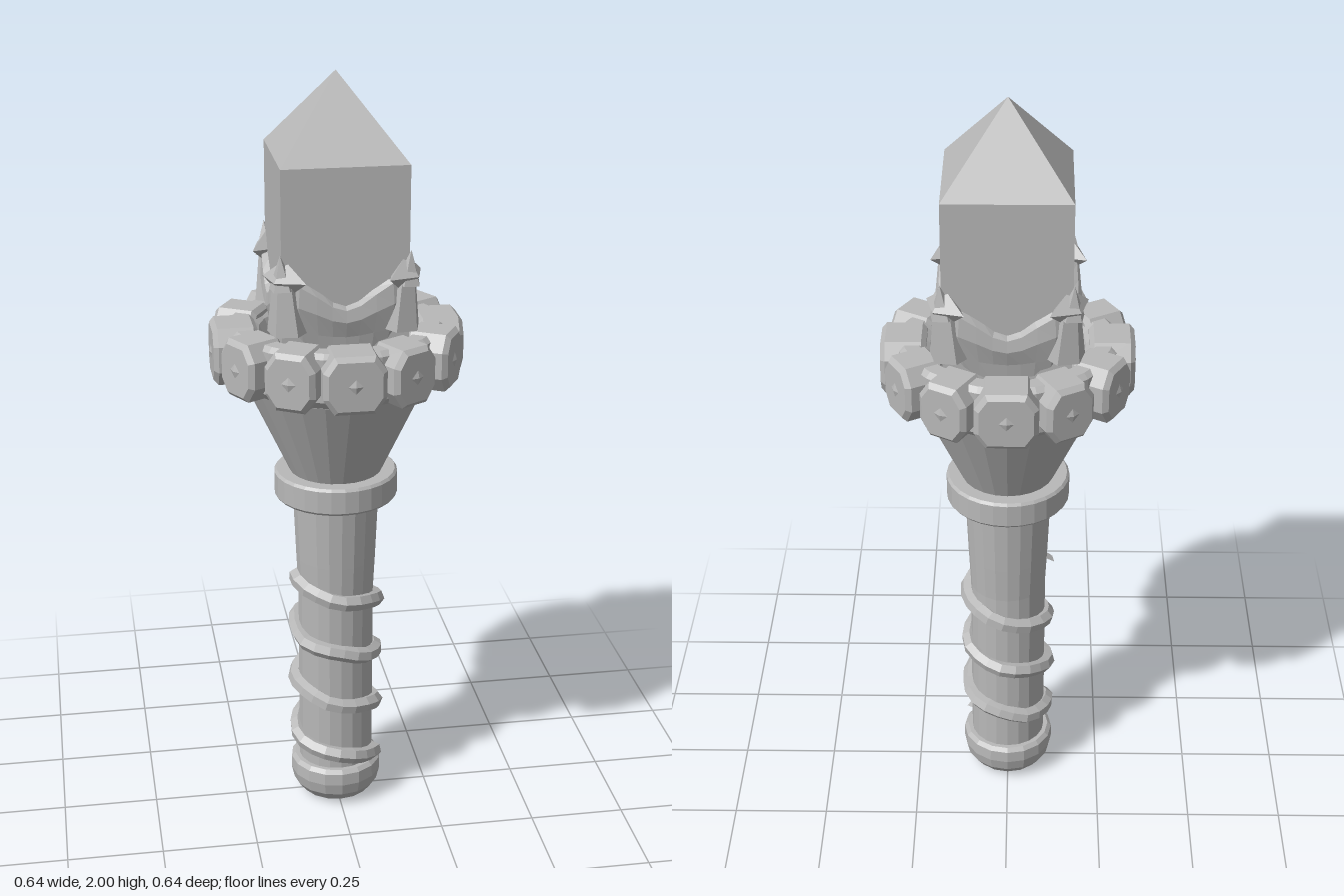
import * as THREE from 'three';

const stone = new THREE.MeshStandardMaterial({ color: 0xb8b8b8, flatShading: true });
stone.name = 'grey stone';

function part(name, geometry, parent) {
  const mesh = new THREE.Mesh(geometry, stone);
  mesh.name = name;
  parent.add(mesh);
  return mesh;
}

const lathe = (points, sides) =>
  new THREE.LatheGeometry(points.map(([r, y]) => new THREE.Vector2(r, y)), sides);

// Descending vine-like wrap around the grip
function wrapGeometry() {
  const turns = 3.45, steps = 44, points = [];
  for (let i = 0; i <= steps; i++) {
    const t = i / steps;
    const a = -Math.PI / 2 + t * turns * Math.PI * 2;
    const r = 0.106 + 0.003 * Math.sin(i * 2.3);
    points.push(new THREE.Vector3(r * Math.sin(a), 0.665 - 0.535 * t + 0.003 * Math.sin(i * 1.7), r * Math.cos(a)));
  }
  return new THREE.TubeGeometry(new THREE.CatmullRomCurve3(points), 66, 0.022, 6);
}

// Chamfered block, facing +z, centred on the ring height
function toothGeometry(halfWidth) {
  const w = halfWidth - 0.012, h = 0.062, cx = 0.022, cy = 0.032;
  const shape = new THREE.Shape([
    [-w + cx, -h], [w - cx, -h], [w, -h + cy], [w, h - cy],
    [w - cx, h], [-w + cx, h], [-w, h - cy], [-w, -h + cy],
  ].map(([x, y]) => new THREE.Vector2(x, y)));
  const g = new THREE.ExtrudeGeometry(shape, {
    depth: 0.09, bevelEnabled: true, bevelThickness: 0.012, bevelSize: 0.012, bevelSegments: 1,
  });
  return g.translate(0, 1.305, 0.214);
}

// Rounded-square cup whose rim rises towards the four corners
function cupGeometry() {
  const g = lathe([[0.14, 1.24], [0.157, 1.33], [0.165, 1.39], [0.178, 1.43], [0.174, 1.46], [0.15, 1.47]], 32);
  const p = g.attributes.position;
  for (let i = 0; i < p.count; i++) {
    const x = p.getX(i), y = p.getY(i), z = p.getZ(i);
    const a = Math.atan2(x, z);
    const n = 6;
    const square = Math.pow(Math.abs(Math.sin(a)) ** n + Math.abs(Math.cos(a)) ** n, -1 / n);
    const k = 1 + (square - 1) * THREE.MathUtils.clamp((y - 1.24) / 0.15, 0, 1);
    const corner = Math.sin(2 * a) ** 2;
    const lift = corner * 0.075 * THREE.MathUtils.clamp((y - 1.37) / 0.09, 0, 1);
    p.setXYZ(i, x * k, y - 0.01 + lift, z * k);
  }
  return g;
}

export function createModel() {
  const model = new THREE.Group();
  model.name = 'torch';

  // Handle
  part('pommel', lathe([[0, 0.003], [0.062, 0.003], [0.095, 0.016], [0.115, 0.042], [0.123, 0.075],
    [0.122, 0.108], [0.112, 0.118], [0, 0.118]], 16), model);
  part('grip', lathe([[0.1, 0.1], [0.1, 0.62], [0.105, 0.72], [0.113, 0.91]], 20), model);
  part('gripWrap', wrapGeometry(), model);
  part('collar', lathe([[0, 0.897], [0.154, 0.897], [0.16, 0.904], [0.16, 0.963], [0.154, 0.97], [0, 0.97]], 28), model);
  part('flaredNeck', lathe([[0.118, 0.965], [0.237, 1.22], [0.237, 1.26]], 24), model);

  // Toothed ring with a dished top
  part('ringBody', lathe([[0.15, 1.228], [0.255, 1.228], [0.276, 1.25], [0.276, 1.36],
    [0.262, 1.372], [0.225, 1.372], [0.195, 1.35], [0.175, 1.31], [0, 1.3]], 24), model);
  const wide = toothGeometry(0.078), narrow = toothGeometry(0.066);
  const studGeometry = new THREE.OctahedronGeometry(0.026).scale(1, 1, 0.28);
  for (let i = 0; i < 12; i++) {
    const tooth = new THREE.Group();
    tooth.name = 'ringTooth';
    part('toothBlock', i % 3 === 0 ? wide : narrow, tooth);
    part('toothStud', studGeometry, tooth).position.set(0, 1.305, 0.314);
    tooth.rotation.y = i * Math.PI / 6;
    model.add(tooth);
  }

  // Square crystal with a pyramid point
  const side = 0.157;
  part('crystalShaft', new THREE.BoxGeometry(side * 2, 0.55, side * 2), model).position.y = 1.525;
  const tip = new THREE.ConeGeometry(side * Math.SQRT2, 0.2, 4, 1, true).rotateY(Math.PI / 4);
  part('crystalPoint', tip, model).position.y = 1.9;

  // Cup and its corner claws
  part('crystalCup', cupGeometry(), model);
  for (let i = 0; i < 4; i++) {
    const claw = new THREE.Group();
    claw.name = 'cornerClaw';
    part('clawKnuckle', new THREE.OctahedronGeometry(1).scale(0.066, 0.05, 0.04), claw).position.set(0, 1.528, 0.21);
    const spike = part('clawTip', new THREE.ConeGeometry(0.034, 0.085, 5), claw);
    spike.position.set(0, 1.55, 0.222);
    spike.rotation.x = 0.1;
    const root = part('clawRoot', new THREE.CylinderGeometry(0.032, 0.055, 0.13, 6), claw);
    root.position.set(0, 1.46, 0.198);
    root.rotation.x = 0.1;
    claw.rotation.y = Math.PI / 4 + i * Math.PI / 2;
    model.add(claw);
  }
  return model;
}
